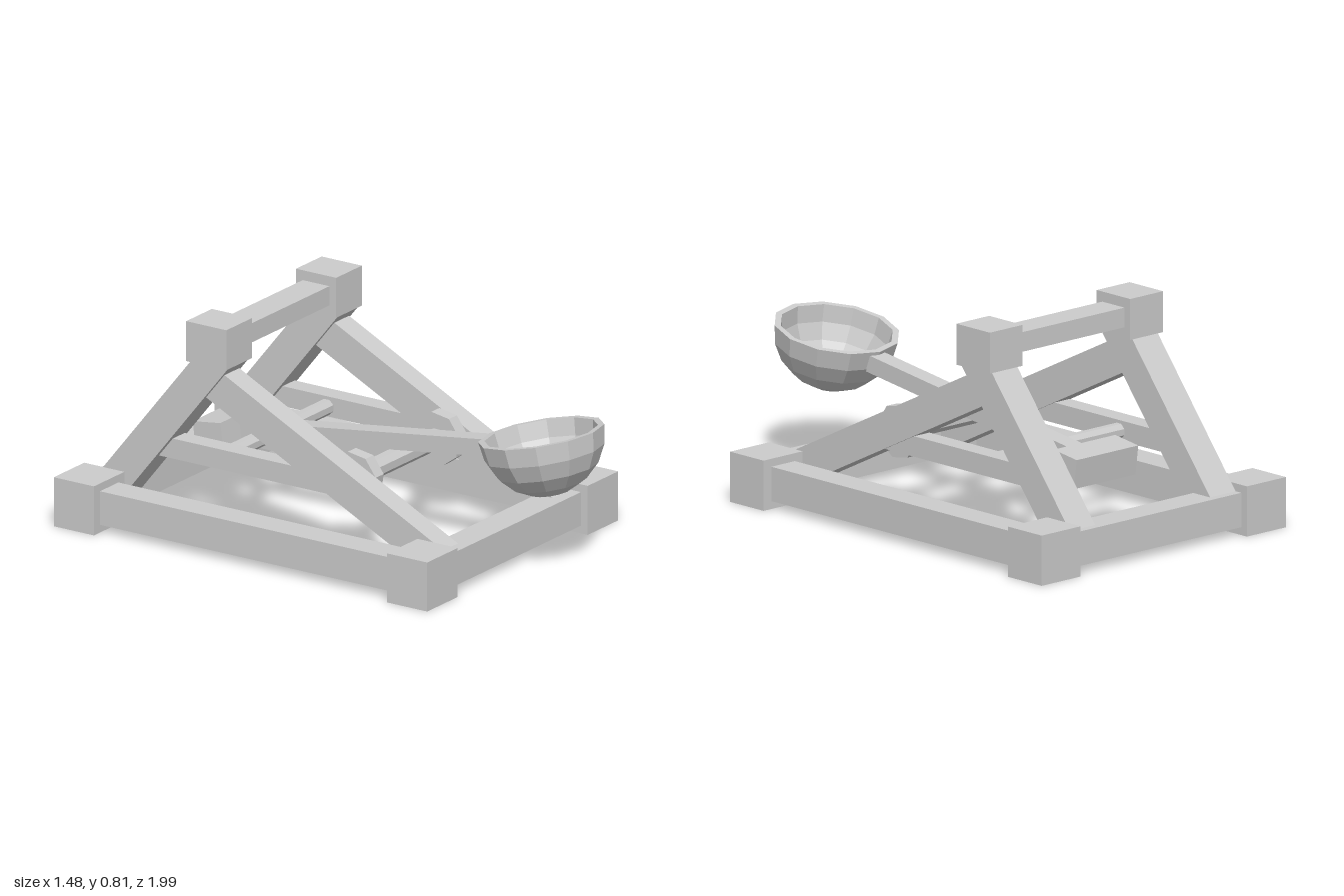
import * as THREE from 'three';

export function createModel() {
  const model = new THREE.Group();
  const body = new THREE.Group();
  body.name = 'catapult';
  body.position.set(0, 0, -0.094);
  body.rotation.y = 0.198; // the machine stands turned
  model.add(body);

  const mat = new THREE.MeshStandardMaterial({ color: 0xcccccc, flatShading: true });

  function add(name, geometry, x, y, z, rx = 0) {
    const mesh = new THREE.Mesh(geometry, mat);
    mesh.name = name;
    mesh.position.set(x, y, z);
    mesh.rotation.x = rx;
    body.add(mesh);
    return mesh;
  }
  const box = (name, w, h, d, x, y, z, rx) =>
    add(name, new THREE.BoxGeometry(w, h, d), x, y, z, rx);

  // Beam running between two points of the y-z plane at a given x
  function beam(name, w, h, x, [y1, z1], [y2, z2]) {
    const dy = y2 - y1, dz = z2 - z1;
    return box(name, w, h, Math.hypot(dy, dz), x, (y1 + y2) / 2, (z1 + z2) / 2, -Math.atan2(dy, dz));
  }

  // Round bar or disc lying along x
  function axle(name, radius, length, sides, x, y, z, turn = 0) {
    const g = new THREE.CylinderGeometry(radius, radius, length, sides);
    g.rotateY(turn).rotateZ(Math.PI / 2);
    return add(name, g, x, y, z);
  }

  // Base frame: front and rear rails
  for (const [name, z] of [['frontRail', 0.718], ['rearRail', -0.718]]) {
    box(name, 0.9, 0.126, 0.115, 0, 0.092, z);
  }

  for (const [side, s] of [['left', 1], ['right', -1]]) {
    // Base frame: side rail and corner blocks
    box(side + 'SideRail', 0.115, 0.126, 1.34, s * 0.5, 0.092, 0);
    for (const z of [0.718, -0.718]) {
      box(side + 'CornerBlock', 0.19, 0.184, 0.173, s * 0.5, 0.092, z);
    }
    // Upright frame: braces, top block and the beam that carries the arm axle
    const x = s * 0.342;
    beam(side + 'RearBrace', 0.124, 0.124, x, [0.092, -0.718], [0.7, -0.232]);
    beam(side + 'FrontBrace', 0.092, 0.124, x, [0.6, -0.3], [0.092, 0.718]);
    box(side + 'TopBlock', 0.16, 0.15, 0.173, x, 0.735, -0.267);
    box(side + 'AxleBeam', 0.075, 0.075, 0.8, x, 0.302, -0.14);
    // Winch disc
    axle(side + 'WinchDisc', 0.1, 0.05, 8, s * 0.26, 0.303, 0.271, 0.23);
  }

  // Cross members
  box('topCrossbar', 0.6, 0.072, 0.115, 0, 0.737, -0.267);
  axle('winchRod', 0.038, 0.6, 8, 0, 0.305, 0.271, Math.PI / 8);
  axle('armAxle', 0.03, 0.68, 8, 0, 0.3, -0.25, Math.PI / 8);

  // Throwing arm with counterweight
  beam('throwingArm', 0.072, 0.063, 0, [0.275, -0.447], [0.429, 0.69]);
  box('counterweight', 0.3, 0.11, 0.12, 0, 0.278, -0.447, -0.134);

  // Bowl: faceted half sphere with a thin wall
  const profile = [];
  const rows = 5, outer = 0.228, inner = 0.205;
  for (let i = 0; i <= rows; i++) {
    const a = (i / rows) * Math.PI / 2;
    profile.push(new THREE.Vector2(outer * Math.sin(a), -outer * Math.cos(a)));
  }
  for (let i = rows; i >= 0; i--) {
    const a = (i / rows) * Math.PI / 2;
    profile.push(new THREE.Vector2(inner * Math.sin(a), -inner * Math.cos(a)));
  }
  add('bowl', new THREE.LatheGeometry(profile, 12), 0, 0.515, 0.884, -0.2);

  return model;
}
